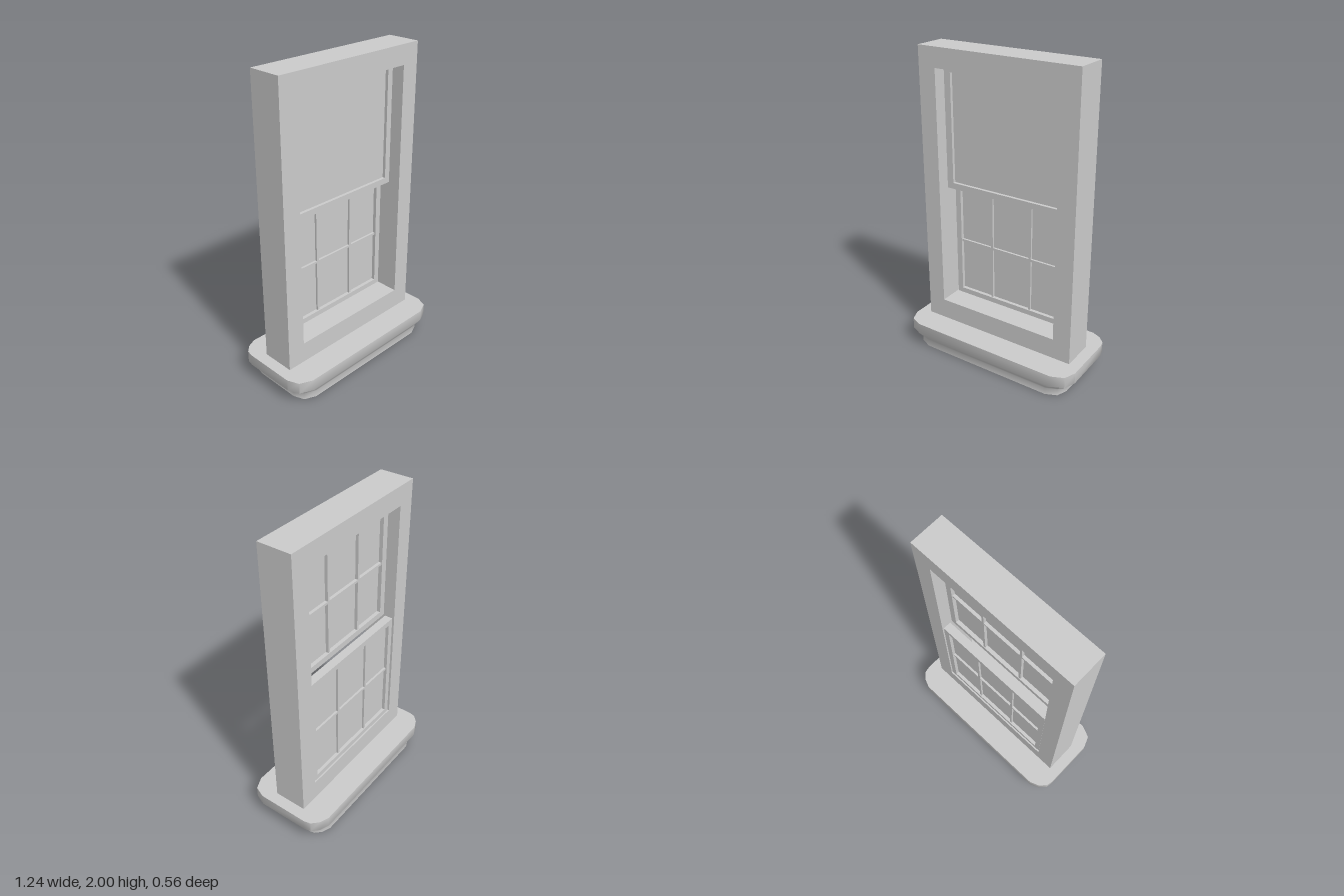
import * as THREE from 'three';
import { toCreasedNormals } from 'three/addons/utils/BufferGeometryUtils.js';

const material = new THREE.MeshStandardMaterial({ color: 0xcccccc });

function addMesh(parent, name, geometry) {
  const mesh = new THREE.Mesh(geometry, material);
  mesh.name = name;
  parent.add(mesh);
  return mesh;
}

// Box given by its limits on each axis
function addBox(parent, name, x0, x1, y0, y1, z0, z1) {
  const mesh = addMesh(parent, name, new THREE.BoxGeometry(x1 - x0, y1 - y0, z1 - z0));
  mesh.position.set((x0 + x1) / 2, (y0 + y1) / 2, (z0 + z1) / 2);
}

// Rectangular frame with a rectangular opening, extruded from z0 to z1
function addFrame(parent, name, outer, inner, z0, z1) {
  const corners = ([x0, x1, y0, y1]) => [[x0, y0], [x1, y0], [x1, y1], [x0, y1]].map(p => new THREE.Vector2(...p));
  const shape = new THREE.Shape(corners(outer));
  shape.holes.push(new THREE.Path(corners(inner).reverse()));
  const geometry = new THREE.ExtrudeGeometry(shape, { depth: z1 - z0, bevelEnabled: false });
  geometry.translate(0, 0, z0);
  addMesh(parent, name, geometry);
}

// Sash: rails and stiles, a glass panel, and bars making six panes
function createSash(name, outer, inner, depth, glass, bars) {
  const sash = new THREE.Group();
  sash.name = name;
  const [x0, x1, y0, y1] = inner;
  const half = 0.008;
  addFrame(sash, 'sashFrame', outer, inner, ...depth);
  addBox(sash, 'glass', x0, x1, y0, y1, ...glass);
  for (const x of [-0.142, 0.148]) addBox(sash, 'verticalBar', x - half, x + half, y0, y1, ...bars);
  const y = (y0 + y1) / 2;
  addBox(sash, 'horizontalBar', x0, x1, y - half, y + half, ...bars);
  return sash;
}

// Sill: one rounded outline lofted through a flared profile
function createSillGeometry() {
  const right = [
    [0.51, -0.28], [0.57, -0.255], [0.61, -0.215], [0.62, -0.17],
    [0.62, 0.17], [0.59, 0.245], [0.51, 0.28],
  ];
  const outline = [...right, ...right.map(([x, z]) => [-x, z]).reverse()];
  // [scale, height], closed to the centre at both ends
  const profile = [[0, 0], [0.9, 0], [0.9, 0.045], [0.92, 0.06], [1, 0.095], [1, 0.17], [0, 0.17]];
  const positions = [];
  for (let j = 0; j < profile.length - 1; j++) {
    const [s0, h0] = profile[j];
    const [s1, h1] = profile[j + 1];
    outline.forEach(([ax, az], i) => {
      const [bx, bz] = outline[(i + 1) % outline.length];
      const a = [ax * s0, h0, az * s0], b = [bx * s0, h0, bz * s0];
      const c = [ax * s1, h1, az * s1], d = [bx * s1, h1, bz * s1];
      if (s0 > 0) positions.push(...a, ...c, ...b);
      if (s1 > 0) positions.push(...b, ...c, ...d);
    });
  }
  const geometry = new THREE.BufferGeometry();
  geometry.setAttribute('position', new THREE.Float32BufferAttribute(positions, 3));
  return toCreasedNormals(geometry, 1.0);
}

export function createModel() {
  const model = new THREE.Group();
  model.name = 'sashWindow';

  addMesh(model, 'sill', createSillGeometry());
  addFrame(model, 'windowFrame', [-0.545, 0.545, 0.17, 2], [-0.425, 0.425, 0.305, 1.875], -0.11, 0.11);

  // Upper sash sits forward, with its bars on the back of the glass
  model.add(createSash('upperSash', [-0.425, 0.425, 1.095, 1.875], [-0.38, 0.385, 1.135, 1.84],
    [-0.03, 0.025], [-0.005, 0.005], [-0.025, 0.004]));

  // Lower sash slides behind it, with a narrow gap at one side
  model.add(createSash('lowerSash', [-0.418, 0.425, 0.305, 1.095], [-0.38, 0.385, 0.34, 1.06],
    [-0.1, -0.045], [-0.078, -0.068], [-0.092, -0.054]));

  return model;
}
